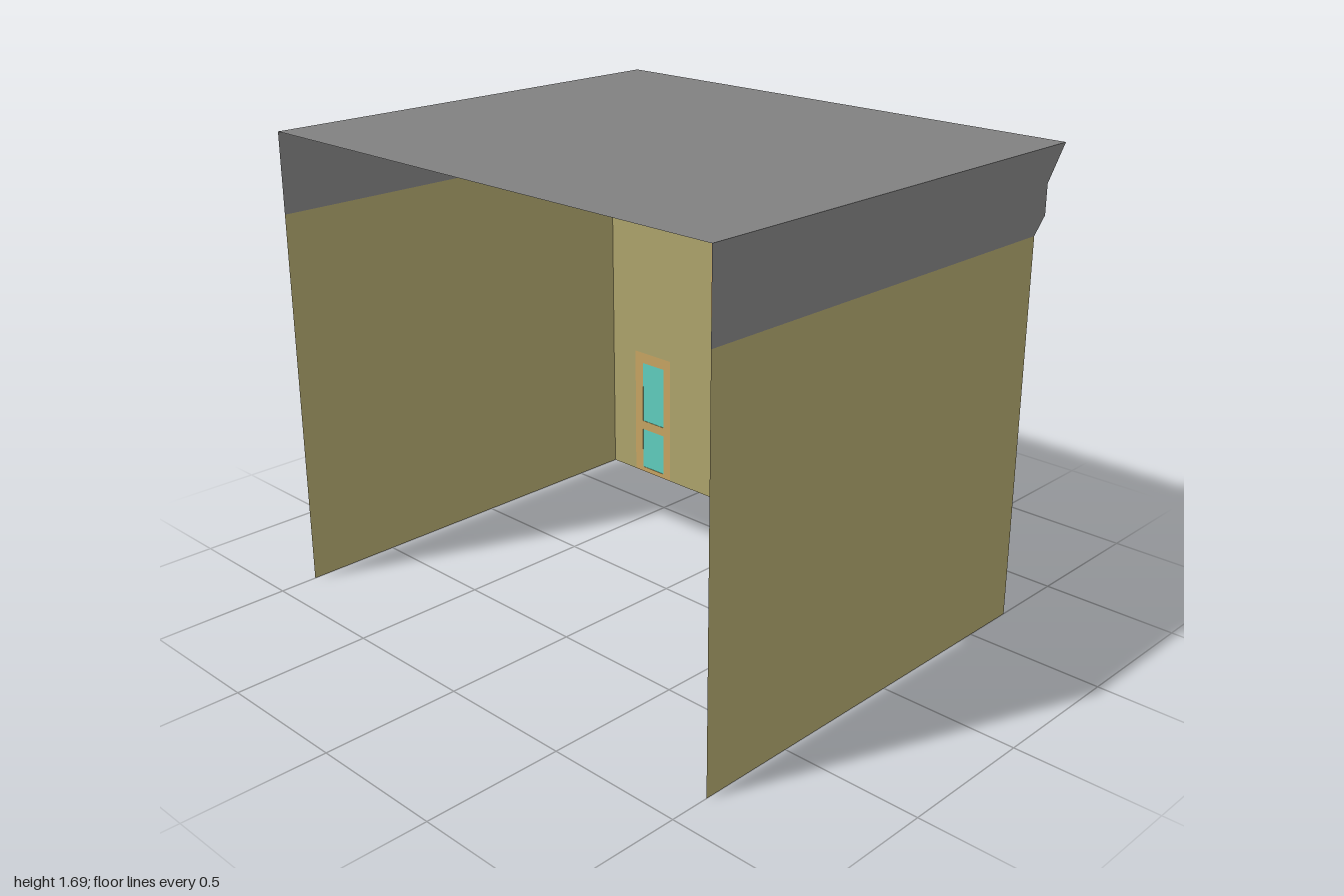
import * as THREE from 'three';

const WALL = -0.707, END = 0.857, EAVE = 1.4, TOP = 1.69;

const mat = (name, color, side = THREE.FrontSide) => {
  const m = new THREE.MeshStandardMaterial({ color, side });
  m.name = name;
  return m;
};

// Rectangles are [x0, x1, y0, y1]
const corners = ([x0, x1, y0, y1]) => [[x0, y0], [x1, y0], [x1, y1], [x0, y1]].map(p => new THREE.Vector2(...p));

function rectShape(outer, holes = []) {
  const shape = new THREE.Shape(corners(outer));
  holes.forEach(h => shape.holes.push(new THREE.Path(corners(h).reverse())));
  return shape;
}

export function createModel() {
  const root = new THREE.Group();
  root.name = 'building';
  const wallMat = mat('ochre wall', 0xaca26b, THREE.DoubleSide);
  const roofMat = mat('grey roof', 0x808080, THREE.DoubleSide);
  const trimMat = mat('tan trim', 0xc5a361);
  const glassMat = mat('teal glass', 0x5fccbd, THREE.DoubleSide);

  const add = (parent, name, geo, material) => {
    const m = new THREE.Mesh(geo, material);
    m.name = name;
    parent.add(m);
    return m;
  };

  // Solid trim from the wall plane out to depth z, with openings
  const trim = (parent, name, outer, holes, z) => {
    const geo = new THREE.ExtrudeGeometry(rectShape(outer, holes), { depth: WALL - z, bevelEnabled: false });
    geo.translate(0, 0, z);
    return add(parent, name, geo, trimMat);
  };
  const glass = (parent, r) => {
    const geo = new THREE.PlaneGeometry(r[1] - r[0], r[3] - r[2]);
    geo.rotateY(Math.PI);
    geo.translate((r[0] + r[1]) / 2, (r[2] + r[3]) / 2, WALL - 0.002);
    add(parent, 'glassPane', geo, glassMat);
  };
  const group = name => {
    const g = new THREE.Group();
    g.name = name;
    root.add(g);
    return g;
  };

  const openings = [];

  // Upper windows, two panes each
  for (const [x0, x1] of [[-0.44, -0.12], [0.355, 0.655]]) {
    const g = group('upperWindow');
    const outer = [x0, x1, 0.787, 1.21];
    const panes = [[x0 + 0.032, x1 - 0.032, 0.81, 1.0], [x0 + 0.032, x1 - 0.032, 1.033, 1.195]];
    trim(g, 'windowFrame', outer, panes, -0.723);
    panes.forEach(p => glass(g, p));
    openings.push(outer);
  }

  // Shop windows with projecting sills
  for (const [x0, x1] of [[-0.437, 0.195], [0.232, 0.848]]) {
    const g = group('shopWindow');
    const outer = [x0, x1, 0.153, 0.477];
    const pane = [x0 + 0.033, x1 - 0.027, 0.172, 0.465];
    trim(g, 'shopFrame', outer, [pane], -0.73);
    trim(g, 'sill', [x0, x1, 0.153, 0.166], [], -0.76);
    glass(g, pane);
    openings.push(outer);
  }

  // Door: leaf with two panes, jambs and header
  const door = group('door');
  const doorPanes = [[-0.827, -0.704, 0.02, 0.195], [-0.827, -0.704, 0.233, 0.495]];
  trim(door, 'doorLeaf', [-0.855, -0.68, 0, 0.51], doorPanes, -0.722);
  trim(door, 'doorJamb', [-0.87, -0.855, 0, 0.51], [], -0.732);
  trim(door, 'doorJamb', [-0.68, -0.667, 0, 0.51], [], -0.732);
  trim(door, 'doorHeader', [-0.87, -0.667, 0.51, 0.54], [], -0.732);
  doorPanes.forEach(p => glass(door, p));
  openings.push([-0.87, -0.667, 0.0005, 0.54]);

  // Facade sheet with openings, turned to face outward
  const facadeGeo = new THREE.ShapeGeometry(rectShape([-1, 1, 0, EAVE], openings.map(([a, b, c, d]) => [-b, -a, c, d])));
  facadeGeo.rotateY(Math.PI);
  facadeGeo.translate(0, 0, WALL);
  add(root, 'facade', facadeGeo, wallMat);

  // Cornice outline, as [z, y]
  const profile = [[WALL, EAVE], [-0.764, 1.46], [-0.764, 1.567], [-END, TOP]];

  // Side walls and the grey roof ends above them
  for (const s of [-1, 1]) {
    const wall = new THREE.PlaneGeometry(END - WALL, EAVE);
    wall.rotateY(s * Math.PI / 2);
    wall.translate(s, EAVE / 2, (END + WALL) / 2);
    add(root, s > 0 ? 'leftWall' : 'rightWall', wall, wallMat);

    const pts = [...profile, [END, TOP], [END, EAVE]].map(([z, y]) => new THREE.Vector2(s * -z, y));
    const end = new THREE.ShapeGeometry(new THREE.Shape(pts));
    end.rotateY(s * Math.PI / 2);
    end.translate(s, 0, 0);
    add(root, s > 0 ? 'leftRoofEnd' : 'rightRoofEnd', end, roofMat);
  }

  // Cornice bands, each a flat strip across the facade
  for (let i = 0; i < profile.length - 1; i++) {
    const [[z0, y0], [z1, y1]] = [profile[i], profile[i + 1]];
    const strip = new THREE.PlaneGeometry(2, Math.hypot(z1 - z0, y1 - y0));
    strip.rotateY(Math.PI);
    strip.rotateX(Math.atan2(z1 - z0, y1 - y0));
    strip.translate(0, (y0 + y1) / 2, (z0 + z1) / 2);
    add(root, 'corniceBand', strip, roofMat);
  }

  // Flat roof
  const roof = new THREE.PlaneGeometry(2, 2 * END);
  roof.rotateX(-Math.PI / 2);
  roof.translate(0, TOP, 0);
  add(root, 'roof', roof, roofMat);

  return root;
}
